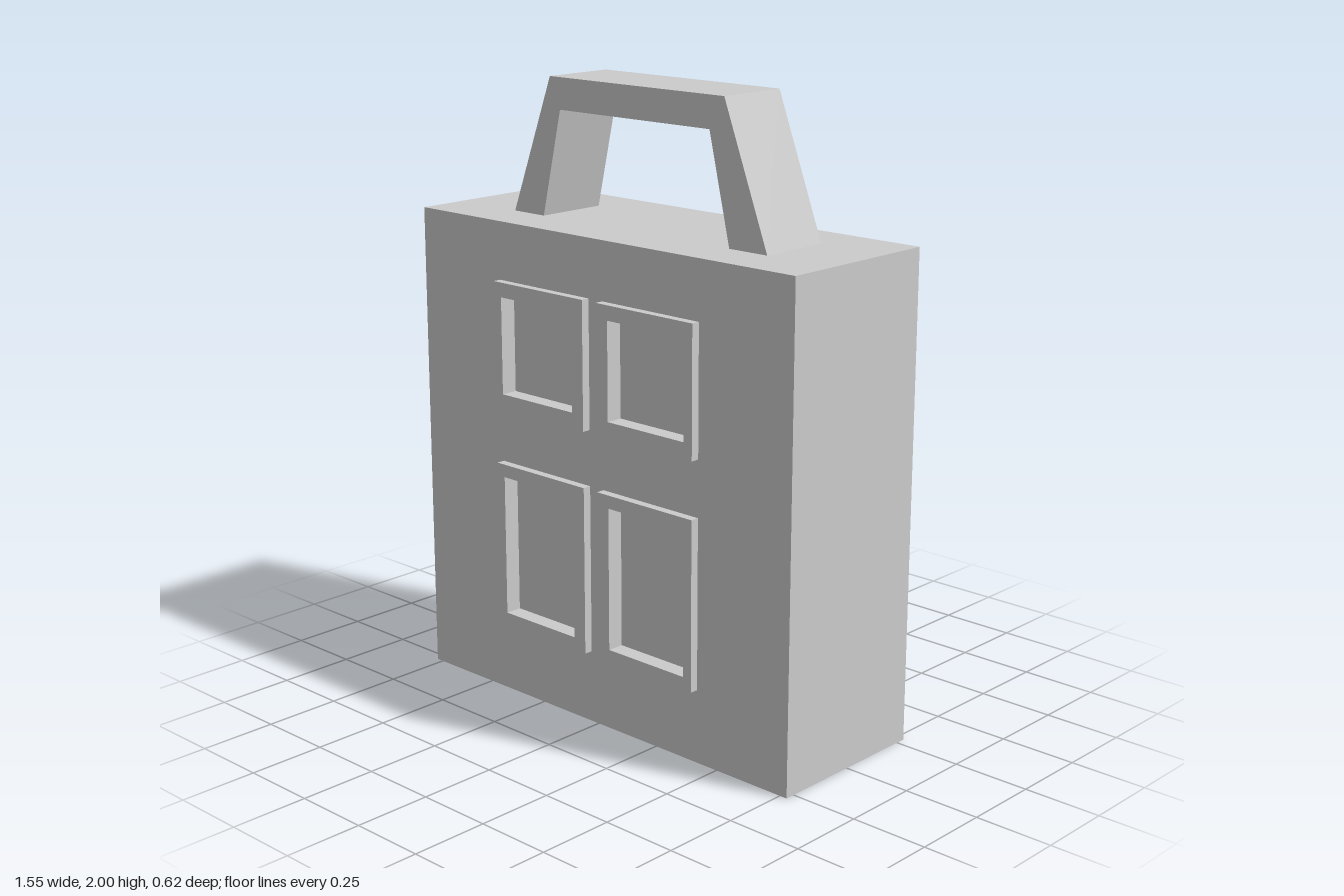
import * as THREE from 'three';

const material = new THREE.MeshStandardMaterial({ color: 0xcccccc, flatShading: true });

// Corner points of an upright rectangle
const rect = (x0, x1, y0, y1) =>
  [[x0, y0], [x1, y0], [x1, y1], [x0, y1]].map(([x, y]) => new THREE.Vector2(x, y));

// Extrudes an outline, with optional holes, from z0 to z1
function slab(name, outline, holes, z0, z1) {
  const shape = new THREE.Shape(outline);
  holes.forEach((h) => shape.holes.push(new THREE.Path(h)));
  const geometry = new THREE.ExtrudeGeometry(shape, { depth: z1 - z0, bevelEnabled: false });
  geometry.translate(0, 0, z0);
  const mesh = new THREE.Mesh(geometry, material);
  mesh.name = name;
  return mesh;
}

export function createModel() {
  const model = new THREE.Group();
  model.name = 'lantern';

  const bodyZ = 0.282, frameZ = 0.31, paneZ = 0.255;

  // Two rows of windows, mirrored left and right
  const rows = [
    { outer: [0.237, 0.782], inner: [0.279, 0.74] },
    { outer: [0.962, 1.374], inner: [1.014, 1.327] },
  ];
  const windows = [];
  for (const row of rows) {
    for (const s of [-1, 1]) {
      const span = (a, b) => (s > 0 ? [a, b] : [-b, -a]);
      windows.push({
        outer: rect(...span(0.029, 0.42), ...row.outer),
        inner: rect(...span(0.077, 0.388), ...row.inner),
      });
    }
  }

  // Body with window openings
  model.add(slab('body', rect(-0.776, 0.776, 0, 1.56), windows.map((w) => w.inner), -bodyZ, bodyZ));

  // Recessed panes fill the openings; raised frames sit on front and back
  for (const w of windows) {
    model.add(slab('windowPane', w.inner, [], -paneZ, paneZ));
    model.add(slab('frontWindowFrame', w.outer, [w.inner], bodyZ, frameZ));
    model.add(slab('backWindowFrame', w.outer, [w.inner], -frameZ, -bodyZ));
  }

  // Carrying handle with splayed legs
  const handle = [
    [-0.519, 1.56], [-0.387, 1.56], [-0.308, 1.9], [0.312, 1.9],
    [0.392, 1.56], [0.537, 1.56], [0.368, 2], [-0.351, 2],
  ].map(([x, y]) => new THREE.Vector2(x, y));
  model.add(slab('handle', handle, [], -0.122, 0.122));

  return model;
}
